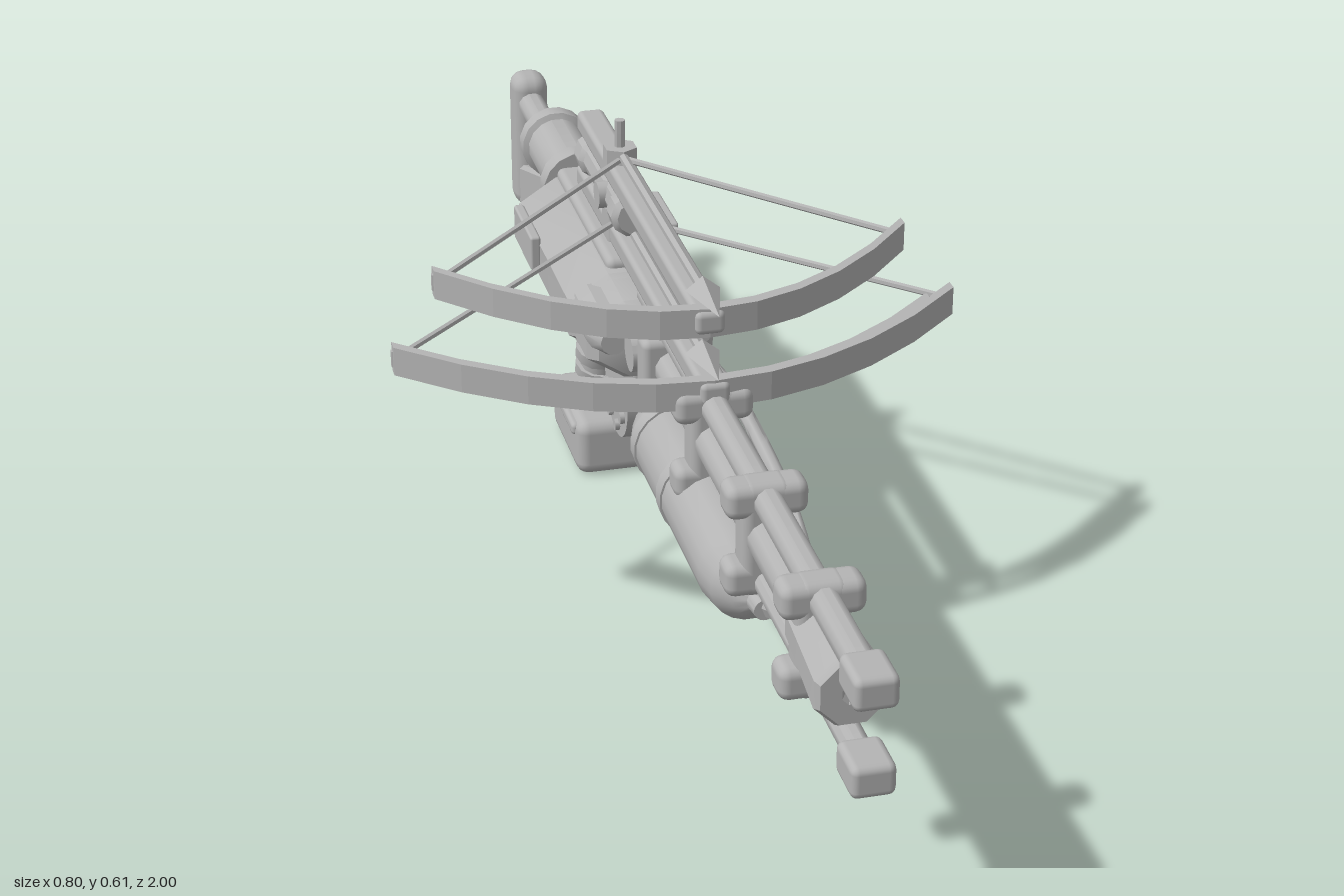
import * as THREE from 'three';
import { toCreasedNormals } from 'three/addons/utils/BufferGeometryUtils.js';
import { RoundedBoxGeometry } from 'three/addons/geometries/RoundedBoxGeometry.js';

const metal = new THREE.MeshStandardMaterial({ color: 0xb4b4b4 });
metal.name = 'grey metal';

export function createModel() {
  const model = new THREE.Group();
  model.name = 'crossbowGun';

  const add = (name, geometry, crease = 0.6) => {
    const mesh = new THREE.Mesh(crease ? toCreasedNormals(geometry, crease) : geometry, metal);
    mesh.name = name;
    model.add(mesh);
    return mesh;
  };
  // Rounded block given by its extents
  const block = (name, [x0, x1], [y0, y1], [z0, z1], r = 0.01) => {
    const g = new RoundedBoxGeometry(x1 - x0, y1 - y0, z1 - z0, 2, r);
    g.translate((x0 + x1) / 2, (y0 + y1) / 2, (z0 + z1) / 2);
    return add(name, g, 0);
  };
  // Turned part along z: profile of [radius, z] with z rising
  const turned = (name, y, profile, sides = 16, sx = 1, sy = 1) => {
    const g = new THREE.LatheGeometry(profile.map(([r, z]) => new THREE.Vector2(r, z)), sides, Math.PI / sides);
    g.rotateX(Math.PI / 2).scale(sx, sy, 1).translate(0, y, 0);
    return add(name, g);
  };
  const tubeZ = (name, y, r, z0, z1, sides = 12) => turned(name, y, [[0, z0], [r, z0], [r, z1], [0, z1]], sides);
  // Straight rod between two points
  const rod = (name, a, b, r, sides = 6, r2 = r) => {
    const p = new THREE.Vector3(...a), q = new THREE.Vector3(...b), d = q.clone().sub(p);
    const g = new THREE.CylinderGeometry(r2, r, d.length(), sides);
    g.applyQuaternion(new THREE.Quaternion().setFromUnitVectors(new THREE.Vector3(0, 1, 0), d.normalize()));
    g.translate((a[0] + b[0]) / 2, (a[1] + b[1]) / 2, (a[2] + b[2]) / 2);
    return add(name, g, sides > 8 ? 0.6 : 0.9);
  };
  // Flat outline in (z, y) given thickness along x
  const sidePlate = (name, points, width) => {
    const s = new THREE.Shape(points.map(([z, y]) => new THREE.Vector2(-z, y)));
    const g = new THREE.ExtrudeGeometry(s, { depth: width - 0.012, bevelSize: 0.006, bevelThickness: 0.006, bevelSegments: 1 });
    g.translate(0, 0, -(width - 0.012) / 2).rotateY(Math.PI / 2);
    return add(name, g);
  };

  // Barrels, muzzle and clamps
  tubeZ('upperBarrel', 0.413, 0.02, -0.1, 0.95);
  tubeZ('lowerBarrel', 0.296, 0.018, -0.1, 0.95);
  tubeZ('middleBarrel', 0.36, 0.028, -0.1, 0.8);
  turned('muzzle', 0.36, [[0, 0.73], [0.038, 0.74], [0.05, 0.9], [0.044, 0.91], [0.015, 0.91], [0, 0.89]], 8);
  block('upperTip', [-0.028, 0.028], [0.391, 0.436], [0.93, 1]);
  block('lowerTip', [-0.028, 0.028], [0.272, 0.316], [0.93, 1]);
  for (const z of [0.765, 0.515, 0.25]) {
    block('clamp', [-0.034, 0.034], [0.275, 0.438], [z - 0.025, z + 0.025], 0.015);
    for (const y of [0.413, 0.3]) block('clampEar', [-0.055, 0.055], [y - 0.024, y + 0.024], [z - 0.025, z + 0.025], 0.015);
  }
  block('tankBracket', [-0.045, 0.045], [0.28, 0.405], [0.0, 0.045], 0.012);
  rod('bracketHub', [-0.05, 0.36, -0.02], [0.05, 0.36, -0.02], 0.028, 16);

  // Gas tank with bands and hose
  turned('tank', 0.25, [[0, -0.015], [0.03, -0.01], [0.053, 0.01], [0.062, 0.04], [0.062, 0.42], [0.055, 0.46], [0.035, 0.49], [0.018, 0.505], [0.015, 0.53], [0, 0.53]], 20);
  for (const z of [0.21, 0.06]) tubeZ('tankBand', 0.25, 0.065, z - 0.012, z + 0.012, 20);
  rod('tankNozzle', [0.01, 0.25, 0.49], [0.035, 0.266, 0.595], 0.03, 10, 0.012);
  const hosePath = new THREE.CatmullRomCurve3([[0, 0.25, 0.5], [0.03, 0.26, 0.585], [0.055, 0.285, 0.54], [0.066, 0.32, 0.43],
    [0.068, 0.345, 0.25], [0.062, 0.355, 0.1], [0.045, 0.36, 0.0]].map(p => new THREE.Vector3(...p)));
  add('hose', new THREE.TubeGeometry(hosePath, 36, 0.011, 8), 0.9);

  // Receiver
  turned('receiver', 0.342, [[0, -0.575], [0.09, -0.575], [0.108, -0.55], [0.108, -0.185], [0.1, -0.175], [0.1, -0.1], [0.085, -0.08], [0.04, -0.07], [0, -0.07]], 8, 1.02, 0.66);
  block('lowerReceiver', [-0.055, 0.055], [0.258, 0.33], [-0.575, -0.37], 0.015);
  block('receiverTop', [-0.04, 0.04], [0.38, 0.422], [-0.56, -0.2], 0.012);
  for (const s of [-1, 1]) {
    block('sidePanel', [s * 0.108 - 0.008, s * 0.108 + 0.008], [0.327, 0.382], [-0.52, -0.39], 0.004);
    turned('forwardBoss', 0.358, [[0, -0.2], [0.036, -0.19], [0.036, -0.1], [0.02, -0.06], [0, -0.06]], 10).position.x = s * 0.062;
  }
  rod('chargingHandle', [0.03, 0.405, -0.47], [0.065, 0.405, -0.47], 0.018, 10);

  // Ammunition drum with studs on both faces
  rod('drum', [-0.036, 0.23, -0.165], [0.036, 0.23, -0.165], 0.074, 24);
  rod('drumHub', [-0.044, 0.23, -0.165], [0.044, 0.23, -0.165], 0.014, 10);
  for (let i = 0; i < 8; i++) {
    const a = i * Math.PI / 4 + 0.3, y = 0.23 + 0.055 * Math.sin(a), z = -0.165 + 0.055 * Math.cos(a);
    rod('drumStud', [-0.043, y, z], [0.043, y, z], 0.009, 8);
  }
  block('drumMount', [-0.03, 0.03], [0.26, 0.32], [-0.23, -0.09]);

  // Grip with ridges, trigger and base magazine
  rod('grip', [0, 0.28, -0.415], [0, 0.085, -0.442], 0.032, 12);
  for (let i = 0; i < 5; i++) {
    const y = 0.25 - i * 0.03, z = -0.419 - i * 0.0045;
    rod('gripRidge', [0, y + 0.009, z], [0, y - 0.009, z - 0.006], 0.039, 12);
  }
  sidePlate('trigger', [[-0.37, 0.27], [-0.345, 0.235], [-0.318, 0.227], [-0.335, 0.25], [-0.345, 0.27]], 0.022);
  block('magazine', [-0.063, 0.063], [0, 0.092], [-0.51, -0.315], 0.02);
  for (const s of [-1, 1]) block('magazineCatch', [s * 0.06 - 0.008, s * 0.06 + 0.008], [0.064, 0.084], [-0.45, -0.335], 0.007);

  // Shoulder stock
  turned('stockCylinder', 0.38, [[0, -0.775], [0.044, -0.775], [0.056, -0.768], [0.056, -0.742], [0.047, -0.738], [0.047, -0.6], [0.058, -0.597], [0.058, -0.565], [0, -0.565]], 16);
  tubeZ('bufferTube', 0.373, 0.022, -0.95, -0.77, 12);
  sidePlate('stockStrut', [[-0.6, 0.325], [-0.6, 0.285], [-0.95, 0.195], [-0.95, 0.255], [-0.76, 0.318]], 0.046);
  block('buttPlate', [-0.03, 0.03], [0.185, 0.42], [-1, -0.935], 0.024);

  // Two stacked crossbows
  const limbs = (name, half, apex, sag, y0, y1, thick) => {
    const arc = (off) => Array.from({ length: 11 }, (_, i) => {
      const t = i / 5 - 1;
      return new THREE.Vector2(half * t, apex - off - sag * t * t);
    });
    const g = new THREE.ExtrudeGeometry(new THREE.Shape([...arc(thick), ...arc(0).reverse()]), { depth: y1 - y0, bevelEnabled: false });
    g.rotateX(Math.PI / 2).translate(0, y1, 0);
    add(name, g, 0.1);
  };
  const crossbow = (half, y, apex, sag, railBack, nockY) => {
    limbs('bowLimbs', half, apex, sag, y - 0.021, y + 0.021, 0.018);
    block('bowRail', [-0.021, 0.021], [y - 0.016, y + 0.018], [railBack, apex + 0.005], 0.009);
    for (const s of [-1, 1]) {
      const tip = [s * (half - 0.004), y, apex - sag - 0.01];
      rod('bowString', tip, [0, nockY - 0.005, -0.27], 0.005);
      rod('stringPeg', [tip[0], y - 0.012, tip[2]], [tip[0], y + 0.012, tip[2]], 0.007);
    }
    rod('boltShaft', [0, nockY, -0.26], [0, nockY, 0.23], 0.007);
    const head = new THREE.ConeGeometry(0.024, 0.09, 4);
    head.rotateX(Math.PI / 2).scale(1, 0.8, 1).translate(0, nockY, 0.245);
    add('boltHead', head, 0.3);
  };
  crossbow(0.335, 0.525, 0.243, 0.205, -0.49, 0.556);
  crossbow(0.4, 0.433, 0.272, 0.2, -0.5, 0.462);
  limbs('innerLimbs', 0.37, 0.236, 0.18, 0.405, 0.435, 0.014);

  // Sight tube and cocking post on top
  turned('sightTube', 0.49, [[0, -0.46], [0.026, -0.46], [0.034, -0.45], [0.034, -0.42], [0.028, -0.41], [0.028, -0.24], [0.034, -0.23], [0.034, -0.2], [0.026, -0.19], [0, -0.19]], 10);
  rod('cockingPost', [0, 0.43, -0.285], [0, 0.606, -0.285], 0.008, 8);
  rod('postCollar', [0, 0.535, -0.285], [0, 0.565, -0.285], 0.026, 6);
  block('sightMount', [-0.024, 0.024], [0.41, 0.475], [-0.31, -0.26], 0.008);
  rod('sightKnob', [-0.036, 0.49, -0.285], [0.036, 0.49, -0.285], 0.02, 12);

  return model;
}
